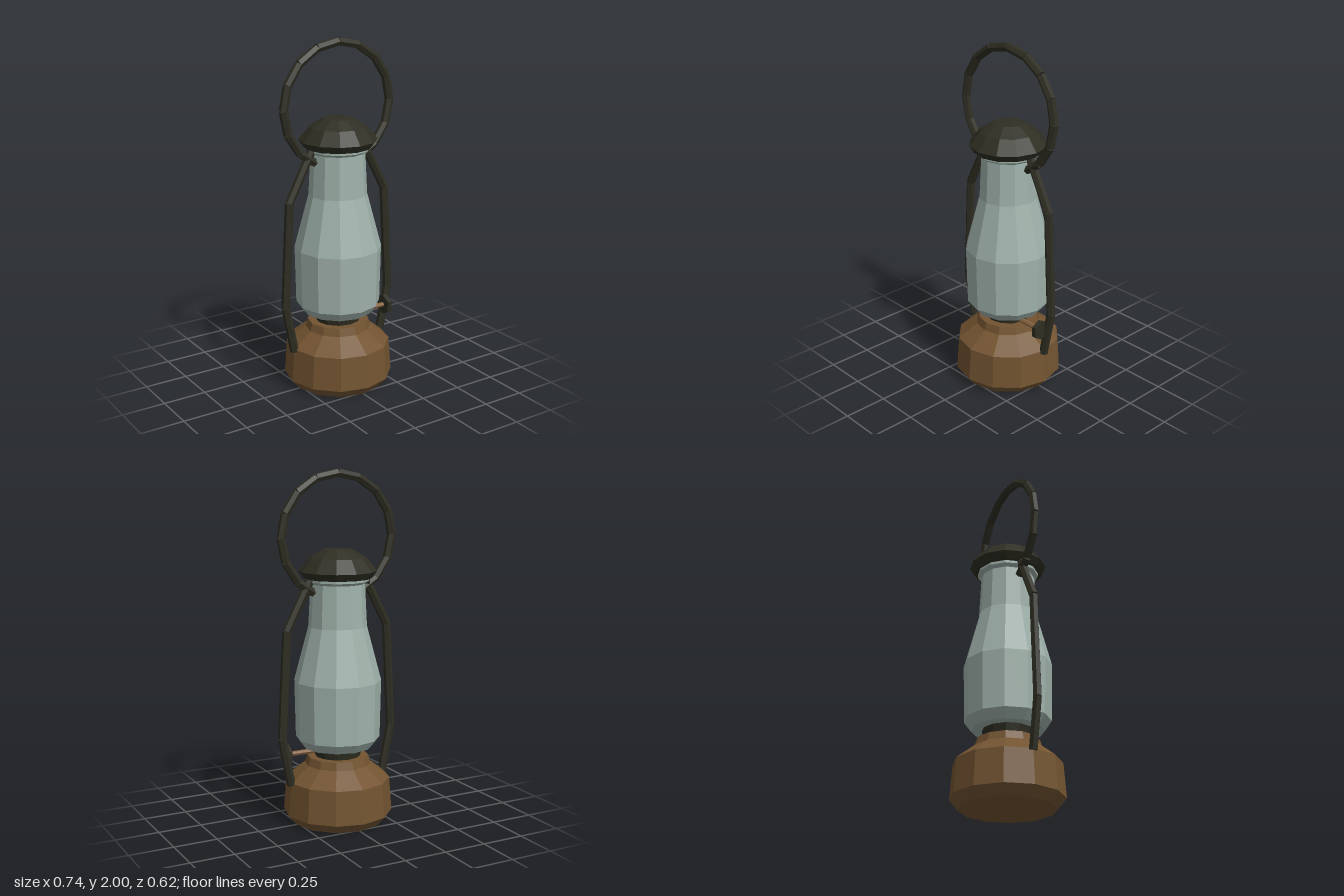
import * as THREE from 'three';

const mat = (name, color) => {
  const m = new THREE.MeshStandardMaterial({ color, flatShading: true });
  m.name = name;
  return m;
};

export function createModel() {
  const brass = mat('aged brass', 0x735431);
  const glass = mat('frosted glass', 0x9fb1aa);
  const iron = mat('dark iron', 0x2e2e23);
  const copper = mat('copper', 0x86623f);

  const root = new THREE.Group();
  root.name = 'lantern';

  const add = (name, geometry, material, parent = root) => {
    const mesh = new THREE.Mesh(geometry, material);
    mesh.name = name;
    parent.add(mesh);
    return mesh;
  };

  // Twelve-sided turned part; profile runs from bottom to top as [radius, y]
  const turned = (name, profile, material) => add(name,
    new THREE.LatheGeometry(profile.map(([r, y]) => new THREE.Vector2(r, y)), 12), material);

  // Chain of separate six-sided rods through [x, y] points
  const rods = (name, points) => {
    const group = new THREE.Group();
    group.name = name;
    for (let i = 0; i < points.length - 1; i++) {
      const a = new THREE.Vector3(...points[i], 0);
      const b = new THREE.Vector3(...points[i + 1], 0);
      const dir = b.clone().sub(a);
      const rod = add(name + 'Segment', new THREE.CylinderGeometry(0.025, 0.025, dir.length(), 6), iron, group);
      rod.position.copy(a).add(b).multiplyScalar(0.5);
      rod.quaternion.setFromUnitVectors(new THREE.Vector3(0, 1, 0), dir.normalize());
    }
    root.add(group);
  };

  // Body
  turned('fuelTank', [[0, 0], [0.265, 0], [0.312, 0.055], [0.297, 0.25],
    [0.188, 0.335], [0.175, 0.38], [0, 0.38]], brass);
  turned('burner', [[0, 0.37], [0.128, 0.37], [0.145, 0.45], [0, 0.45]], iron);
  turned('globe', [[0, 0.437], [0.2, 0.437], [0.24, 0.49], [0.247, 0.82], [0.165, 1.13],
    [0.153, 1.37], [0.175, 1.385], [0.175, 1.4], [0, 1.4]], glass);
  turned('cap', [[0, 1.4], [0.192, 1.4], [0.22, 1.44], [0.16, 1.515], [0.085, 1.56], [0, 1.565]], iron);

  // Side frame rods
  for (const s of [1, -1]) {
    rods(s > 0 ? 'leftFrame' : 'rightFrame',
      [[0.16, 1.42], [0.317, 1.12], [0.35, 0.515], [0.296, 0.24]].map(([x, y]) => [s * x, y]));
  }

  // Carrying handle: an open ring
  const ring = [[-0.15, 1.325]];
  for (let i = -6; i <= 6; i++) {
    const t = i * Math.PI / 8;
    ring.push([0.346 * Math.sin(t), 1.632 + 0.346 * Math.cos(t)]);
  }
  ring.push([0.15, 1.325]);
  rods('handle', ring);

  // Wick adjuster
  const shaft = add('wickShaft', new THREE.CylinderGeometry(0.014, 0.014, 0.2, 6), copper);
  shaft.rotation.z = -Math.PI / 2;
  shaft.position.set(0.2, 0.41, 0.04);
  const knobGeometry = new THREE.CylinderGeometry(0.058, 0.058, 0.027, 6);
  knobGeometry.rotateY(Math.PI / 2); // puts a corner at the top
  const knob = add('wickKnob', knobGeometry, iron);
  knob.rotation.z = -Math.PI / 2;
  knob.position.set(0.306, 0.41, 0.04);

  return root;
}
